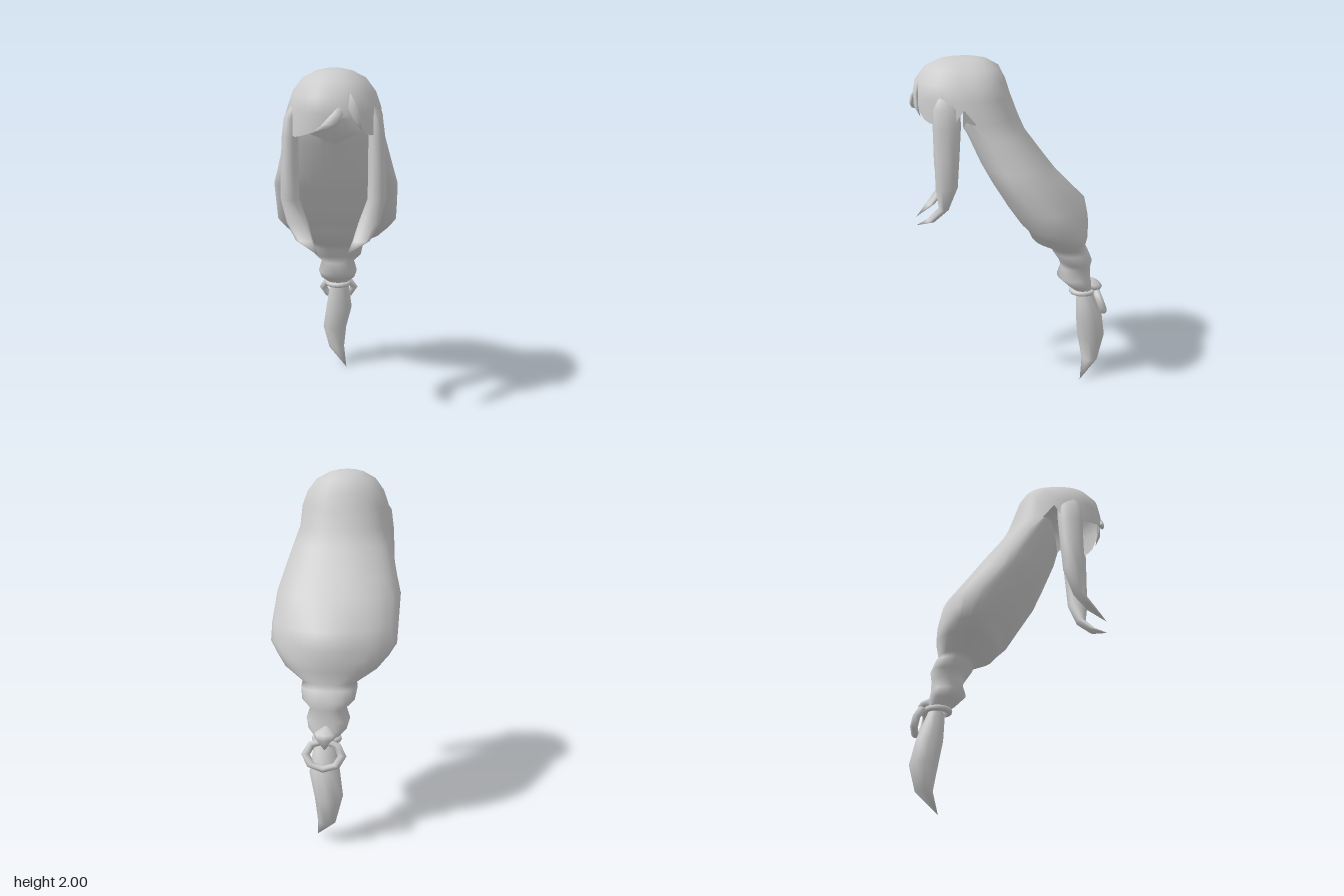
import * as THREE from 'three';
import { mergeGeometries, mergeVertices } from 'three/addons/utils/BufferGeometryUtils.js';

const hairGrey = new THREE.MeshStandardMaterial({ color: 0xcccccc, side: THREE.DoubleSide });
hairGrey.name = 'hairGrey';

// Skin a stack of rings, listed from top to bottom.
// Ring: [y, z of the widest line, half width, depth behind, depth in front, centre x, rule for y]
function loft(rings, sides, power = 2) {
  const pos = [], index = [];
  const soften = (v) => Math.sign(v) * Math.abs(v) ** (2 / power);
  for (const [y, z, w, back, front, cx = 0, rule] of rings) {
    for (let j = 0; j < sides; j++) {
      const a = (j / sides) * Math.PI * 2;
      const s = soften(Math.sin(a)), c = soften(Math.cos(a));
      const px = cx + w * s, pz = z + (c > 0 ? front : back) * c;
      pos.push(px, rule ? rule(px, pz, c > 1e-6) : y, pz);
    }
  }
  for (let i = 0; i < rings.length - 1; i++) {
    for (let j = 0; j < sides; j++) {
      const k = (j + 1) % sides;
      const a = i * sides + j, b = i * sides + k;
      index.push(a, a + sides, b + sides, a, b + sides, b);
    }
  }
  const geo = new THREE.BufferGeometry();
  geo.setAttribute('position', new THREE.Float32BufferAttribute(pos, 3));
  geo.setIndex(index);
  return geo;
}

function smooth(...geos) {
  const geo = mergeVertices(mergeGeometries(geos), 1e-4);
  geo.computeVertexNormals();
  return geo;
}

function part(name, geo) {
  const mesh = new THREE.Mesh(geo, hairGrey);
  mesh.name = name;
  return mesh;
}

// Height of the fringe's lower edge across the brow
const fringe = [[-0.3, 1.68], [-0.19, 1.67], [0, 1.74], [0.04, 1.77], [0.07, 1.795], [0.18, 1.68], [0.3, 1.68]];
function fringeEdge(x, z, inFront) {
  if (!inFront) return 1.68;
  if (z < 0.33) return z > 0.255 ? 1.76 : 1.68; // slit between side lock and back hair
  const i = Math.max(1, fringe.findIndex((p) => p[0] >= x));
  const [x0, y0] = fringe[i - 1], [x1, y1] = fringe[i];
  return y0 + ((x - x0) / (x1 - x0)) * (y1 - y0);
}
// Dipped upper edge of the back hair, behind the face
const napeEdge = (x, z, inFront) => (inFront ? 1.68 - 0.075 * Math.max(0, 1 - Math.abs(x) / 0.19) : 1.68);

export function createModel() {
  const group = new THREE.Group();
  group.name = 'hair';

  // Crown with the fringe, open beneath
  const crown = loft([
    [2.0, 0.28, 0, 0, 0],
    [2.0, 0.28, 0.05, 0.08, 0.08],
    [1.988, 0.27, 0.1, 0.125, 0.14],
    [1.95, 0.25, 0.17, 0.17, 0.235],
    [1.88, 0.24, 0.222, 0.195, 0.3],
    [1.8, 0.23, 0.25, 0.21, 0.325],
    [1.68, 0.22, 0.262, 0.245, 0.33, 0, fringeEdge],
  ], 40, 2.3);

  // Back hair sweeping down and back, gathered into the braid
  const back = loft([
    [1.68, 0.22, 0.262, 0.245, 0.06, 0, napeEdge],
    [1.59, 0.14, 0.285, 0.205, 0.125],
    [1.42, 0.03, 0.33, 0.22, 0.16],
    [1.33, 0, 0.355, 0.26, 0.14],
    [1.18, -0.13, 0.357, 0.275, 0.18],
    [1.08, -0.18, 0.355, 0.245, 0.16],
    [1.02, -0.22, 0.315, 0.21, 0.145],
    [0.96, -0.27, 0.26, 0.16, 0.17],
    [0.89, -0.32, 0.15, 0.1, 0.1],
    [0.86, -0.335, 0.156, 0.105, 0.105],
    [0.8, -0.365, 0.146, 0.1, 0.095],
    [0.755, -0.375, 0.1, 0.085, 0.09],
    [0.69, -0.37, 0.12, 0.09, 0.105],
    [0.64, -0.395, 0.106, 0.075, 0.075],
    [0.6, -0.42, 0.065, 0.055, 0.055],
    [0.57, -0.425, 0.06, 0.05, 0.05],
  ], 40, 2.3);
  // Raised central strand on the lower back
  const p = back.attributes.position;
  for (let i = 0; i < p.count; i++) {
    const x = p.getX(i), y = p.getY(i), z = p.getZ(i);
    const low = Math.max(0, 1 - Math.abs(y - 1.12) / 0.2);
    if (z < -0.25) p.setZ(i, z + low * 0.035 * (1 - 1.4 * Math.exp(-((x / 0.15) ** 2))));
  }
  group.add(part('crownAndBraid', smooth(crown, back)));

  // Long locks framing the face
  for (const side of [-1, 1]) {
    const lock = loft([
      [1.82, 0.37, 0.02, 0.05, 0.05, 0.2],
      [1.76, 0.375, 0.036, 0.072, 0.072, 0.222],
      [1.66, 0.375, 0.044, 0.072, 0.075, 0.227],
      [1.5, 0.378, 0.048, 0.064, 0.07, 0.231],
      [1.33, 0.387, 0.05, 0.06, 0.06, 0.232],
      [1.2, 0.405, 0.058, 0.03, 0.028, 0.192],
      [1.12, 0.475, 0.045, 0.025, 0.025, 0.15],
      [1.065, 0.56, 0, 0, 0, 0.075],
    ].map((r) => [...r.slice(0, 5), r[5] * side]), 12);
    group.add(part(side > 0 ? 'leftLock' : 'rightLock', smooth(lock)));
  }

  // Loose wisps on the fringe
  const wisps = [
    [[1.86, 0.53, 0, 0, 0, 0.04], [1.8, 0.552, 0.03, 0.012, 0.014, 0.025], [1.75, 0.562, 0.04, 0.01, 0.012, -0.01],
      [1.72, 0.555, 0.028, 0.01, 0.01, -0.055], [1.7, 0.54, 0, 0, 0, -0.1]],
    [[1.9, 0.52, 0, 0, 0, 0.09], [1.83, 0.535, 0.03, 0.012, 0.014, 0.105], [1.76, 0.535, 0.018, 0.01, 0.012, 0.125],
      [1.71, 0.515, 0, 0, 0, 0.155]],
  ];
  for (const w of wisps) group.add(part('fringeWisp', smooth(loft(w, 8))));

  // Tail below the tie
  group.add(part('tail', smooth(loft([
    [0.6, -0.425, 0, 0, 0, 0.005],
    [0.575, -0.43, 0.06, 0.05, 0.05, 0.008],
    [0.41, -0.465, 0.085, 0.08, 0.08, 0.005],
    [0.27, -0.485, 0.078, 0.083, 0.083, -0.022],
    [0.12, -0.48, 0.05, 0.05, 0.05, -0.01],
    [0.005, -0.41, 0, 0, 0, 0.055],
  ], 10))));

  // Tie band, loop and knot
  const band = part('tieBand', new THREE.TorusGeometry(0.066, 0.017, 8, 16));
  band.rotation.x = Math.PI / 2;
  band.position.set(0, 0.588, -0.42);
  group.add(band);

  const loop = part('tieLoop', new THREE.TorusGeometry(0.095, 0.023, 8, 8));
  loop.scale.set(1.05, 0.8, 1);
  loop.rotation.x = 0.35;
  loop.position.set(0, 0.525, -0.52);
  group.add(loop);

  group.add(part('tieKnot', smooth(loft([
    [0.675, -0.46, 0, 0, 0],
    [0.635, -0.475, 0.06, 0.05, 0.035],
    [0.61, -0.49, 0.055, 0.05, 0.05],
    [0.545, -0.5, 0, 0, 0],
  ], 8))));

  return group;
}
